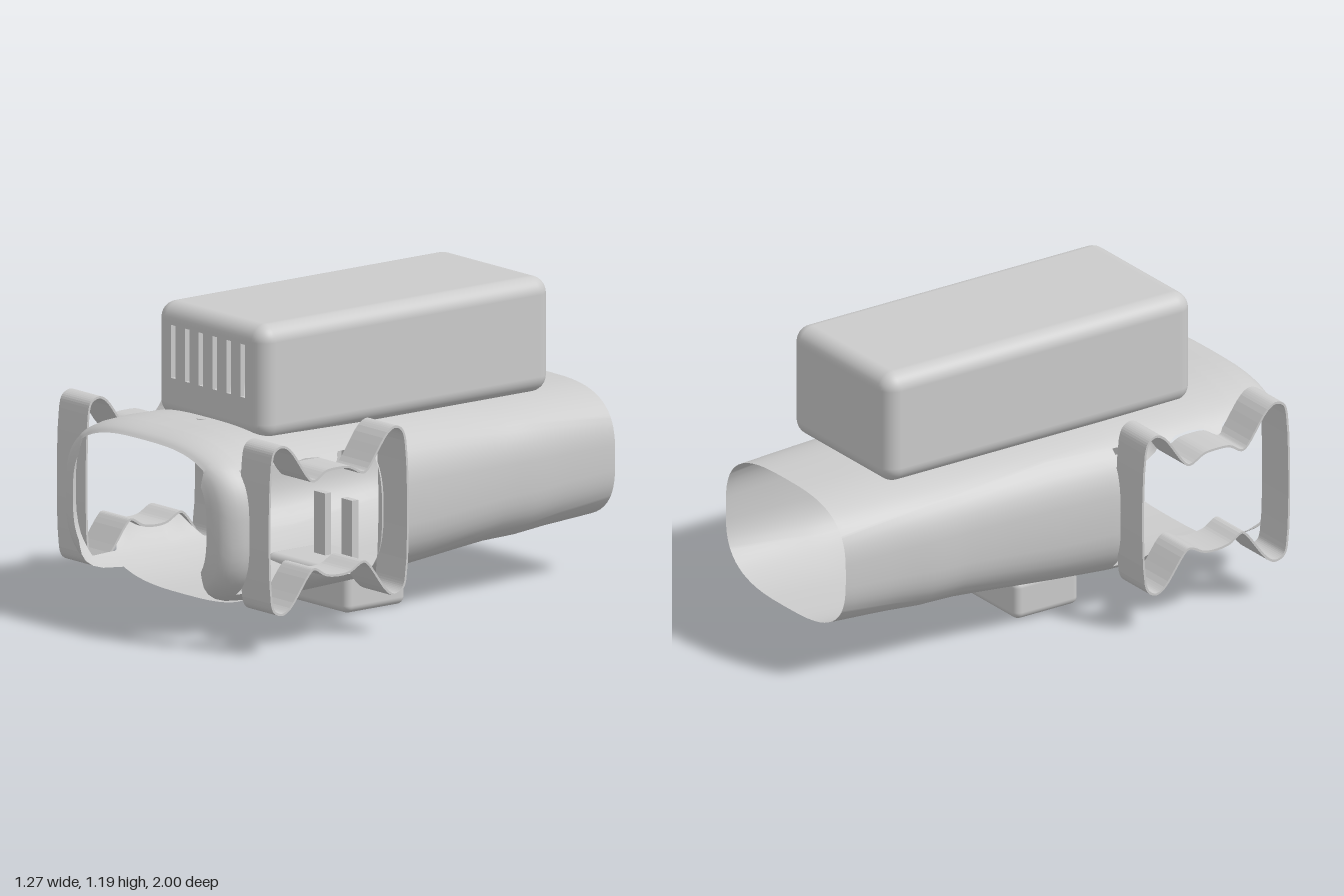
import * as THREE from 'three';
import { RoundedBoxGeometry } from 'three/addons/geometries/RoundedBoxGeometry.js';

const mat = new THREE.MeshStandardMaterial({ color: 0xcccccc, side: THREE.DoubleSide });

// Linear lookup in rows sorted by their first number
function lerpRows(rows, z, k) {
  let i = 0;
  while (i < rows.length - 2 && z > rows[i + 1][0]) i++;
  const [a, b] = [rows[i], rows[i + 1]];
  return THREE.MathUtils.lerp(a[k], b[k], THREE.MathUtils.clamp((z - a[0]) / (b[0] - a[0]), 0, 1));
}

// Sleeve sections: z, half width, top, bottom
const sections = [
  [-1, 0.395, 0.73, 0.2], [-0.75, 0.41, 0.738, 0.187], [-0.6, 0.423, 0.74, 0.176],
  [-0.45, 0.428, 0.742, 0.174], [-0.3, 0.44, 0.75, 0.162], [0, 0.472, 0.766, 0.138],
  [0.22, 0.495, 0.777, 0.124], [0.5, 0.513, 0.787, 0.118], [0.78, 0.525, 0.793, 0.122],
  [0.88, 0.522, 0.788, 0.132], [0.93, 0.51, 0.78, 0.145], [0.965, 0.485, 0.768, 0.162],
  [0.985, 0.455, 0.752, 0.18], [1, 0.4, 0.735, 0.2],
];

// Wavy upper and lower edges of the side clips: z, y
const clipTop = [[0.215, 0.75], [0.235, 0.8], [0.27, 0.815], [0.31, 0.795], [0.405, 0.67], [0.425, 0.66],
  [0.49, 0.69], [0.55, 0.695], [0.61, 0.69], [0.665, 0.66], [0.685, 0.67], [0.78, 0.795], [0.82, 0.815],
  [0.86, 0.8], [0.877, 0.75]];
const clipBottom = [[0.215, 0.21], [0.235, 0.17], [0.27, 0.155], [0.31, 0.175], [0.405, 0.295], [0.425, 0.305],
  [0.49, 0.275], [0.55, 0.27], [0.61, 0.28], [0.665, 0.31], [0.685, 0.295], [0.78, 0.175], [0.82, 0.155],
  [0.86, 0.17], [0.877, 0.21]];

// Hollow sleeve with a window on each side and a floor cut back at the front
function sleeveGeometry() {
  const zs = [];
  const span = (a, b, n) => { for (let i = 0; i < n; i++) zs.push(a + (b - a) * i / n); };
  span(-1, -0.6, 8); span(-0.6, -0.45, 3); span(-0.45, 0.22, 12);
  span(0.22, 0.78, 56); span(0.78, 0.88, 10);
  zs.push(0.88, 0.905, 0.93, 0.95, 0.965, 0.975, 0.985, 0.994, 1);
  const pow = 3, counts = [10, 4, 12, 4, 10], cols = 80;
  const pos = [], idx = [];
  for (const z of zs) {
    const w = lerpRows(sections, z, 1), top = lerpRows(sections, z, 2), bot = lerpRows(sections, z, 3);
    const c = (top + bot) / 2, h = (top - bot) / 2;
    const inWindow = z > 0.21 && z < 0.89;
    const upper = inWindow ? Math.min(0.695, lerpRows(clipTop, z, 1)) : 0.695;
    const lower = inWindow ? Math.max(0.21, lerpRows(clipBottom, z, 1)) : 0.21;
    const limit = Math.acos(Math.pow(0.365 / w, pow / 2));
    const angle = (y) => {
      const s = THREE.MathUtils.clamp((y - c) / h, -1, 1);
      const t = Math.sign(s) * Math.asin(Math.pow(Math.abs(s), pow / 2));
      return THREE.MathUtils.clamp(t, 0.04 - limit, limit - 0.04);
    };
    const stops = [-Math.PI / 2, -limit, angle(lower), angle(upper), limit, Math.PI / 2];
    const ts = [];
    counts.forEach((n, k) => {
      for (let i = 0; i < n; i++) ts.push(stops[k] + (stops[k + 1] - stops[k]) * i / n);
    });
    ts.push(Math.PI / 2);
    for (let j = 0; j < cols; j++) {
      const t = j <= 40 ? ts[j] : Math.PI - ts[cols - j];
      const f = (v) => Math.sign(v) * Math.pow(Math.abs(v), 2 / pow);
      pos.push(w * f(Math.cos(t)), c + h * f(Math.sin(t)), z);
    }
  }
  for (let i = 0; i < zs.length - 1; i++) {
    const z = (zs[i] + zs[i + 1]) / 2;
    for (let j = 0; j < cols; j++) {
      const k = j < 40 ? j : 79 - j;
      if (z > 0.22 && z < 0.88 && k >= 14 && k < 26) continue;
      if (z > 0.78 && k < 10) continue;
      if (z > 0.985 && k >= 30) continue;
      const a = i * cols + j, b = i * cols + (j + 1) % cols;
      idx.push(a, b, b + cols, a, b + cols, a + cols);
    }
  }
  const g = new THREE.BufferGeometry();
  g.setAttribute('position', new THREE.Float32BufferAttribute(pos, 3));
  g.setIndex(idx);
  g.computeVertexNormals();
  return g;
}

// Thin closed band bent to the clip outline, extruded sideways
function clipGeometry() {
  const loop = [...clipTop, ...clipBottom.slice().reverse()].map(([z, y]) => new THREE.Vector3(-z, y, 0));
  const pts = new THREE.CatmullRomCurve3(loop, true, 'centripetal').getPoints(150).slice(0, -1);
  const n = pts.length, t = 0.009;
  const inner = pts.map((p, i) => {
    const d = pts[(i + 1) % n].clone().sub(pts[(i + n - 1) % n]).normalize();
    return new THREE.Vector2(p.x - d.y * t, p.y + d.x * t);
  });
  const shape = new THREE.Shape(pts.map((p) => new THREE.Vector2(p.x, p.y)));
  shape.holes.push(new THREE.Path(inner));
  const g = new THREE.ExtrudeGeometry(shape, { depth: 0.172, bevelEnabled: false });
  return g.rotateY(Math.PI / 2);
}

// Hollow rounded box whose flat front face is left open
function openFrontBox(w, h, d, r) {
  const src = new RoundedBoxGeometry(w, h, d, 5, r).toNonIndexed();
  const p = src.attributes.position, nor = src.attributes.normal, pos = [], norms = [];
  for (let i = 0; i < p.count; i += 3) {
    if ([0, 1, 2].every((k) => p.getZ(i + k) > d / 2 - 1e-5)) continue;
    for (let k = i; k < i + 3; k++) {
      pos.push(p.getX(k), p.getY(k), p.getZ(k));
      norms.push(nor.getX(k), nor.getY(k), nor.getZ(k));
    }
  }
  const g = new THREE.BufferGeometry();
  g.setAttribute('position', new THREE.Float32BufferAttribute(pos, 3));
  g.setAttribute('normal', new THREE.Float32BufferAttribute(norms, 3));
  return g;
}

function rectPath(Type, x0, y0, x1, y1) {
  return new Type([[x0, y0], [x1, y0], [x1, y1], [x0, y1]].map(([x, y]) => new THREE.Vector2(x, y)));
}

export function createModel() {
  const model = new THREE.Group();
  const add = (name, geo, x = 0, y = 0, z = 0) => {
    const m = new THREE.Mesh(geo, mat);
    m.name = name;
    m.position.set(x, y, z);
    model.add(m);
    return m;
  };

  add('sleeve', sleeveGeometry());

  // Upper housing with a slotted front panel
  const w = 0.644, y0 = 0.745, y1 = 1.193, r = 0.065;
  add('housing', openFrontBox(w, y1 - y0, 1.42, r), 0, (y0 + y1) / 2, -0.045);
  const panel = rectPath(THREE.Shape, -w / 2 + r, y0 + r, w / 2 - r, y1 - r);
  for (let i = 0; i < 6; i++) {
    const x = -0.21 + i * 0.083;
    panel.holes.push(rectPath(THREE.Path, x - 0.0135, 0.906, x + 0.0135, 1.112));
  }
  add('ventPanel', new THREE.ExtrudeGeometry(panel, { depth: 0.02, bevelEnabled: false }), 0, 0, 0.645);

  // Block under the sleeve
  add('foot', new RoundedBoxGeometry(0.484, 0.16, 0.296, 5, 0.03), 0, 0.08, 0.042);

  // Small button on top
  add('button', new THREE.CylinderGeometry(0.018, 0.018, 0.02, 24), 0, 0.784, 0.7);

  // Side clips and inner prongs, mirrored
  const clip = clipGeometry();
  for (const s of [1, -1]) {
    const side = s > 0 ? 'left' : 'right';
    add(side + 'Clip', clip, s > 0 ? 0.462 : -0.634);
    add(side + 'UpperProng', new THREE.BoxGeometry(0.065, 0.195, 0.03), s * 0.081, 0.6625, 0.04);
    add(side + 'LowerProng', new THREE.BoxGeometry(0.065, 0.265, 0.03), s * 0.081, 0.2675, 0.04);
  }
  return model;
}
